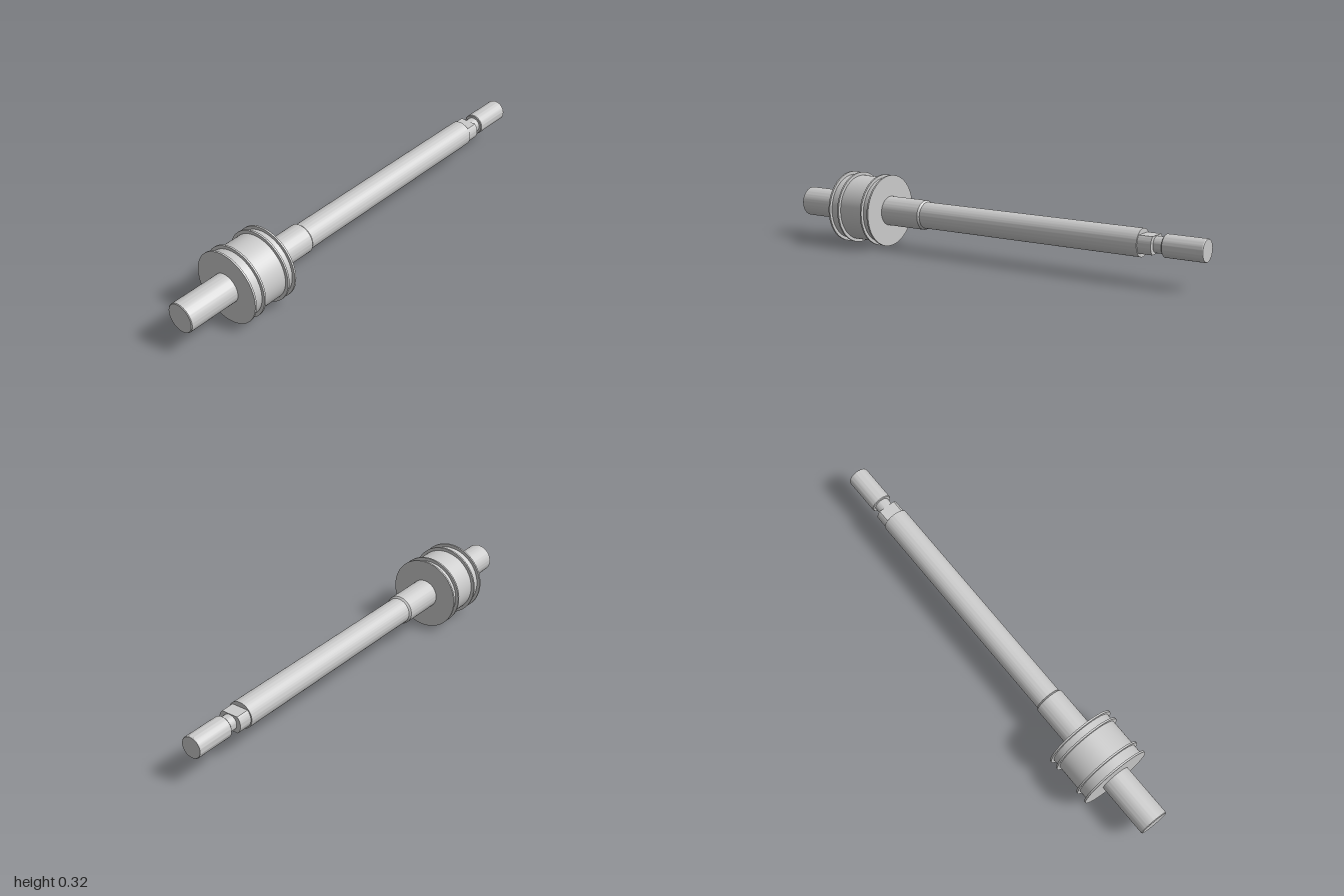
import * as THREE from 'three';
import { toCreasedNormals } from 'three/addons/utils/BufferGeometryUtils.js';

const AXIS_Y = 0.159;

export function createModel() {
  const group = new THREE.Group();
  const material = new THREE.MeshStandardMaterial({ color: 0xcccccc });

  function add(name, geometry) {
    const mesh = new THREE.Mesh(toCreasedNormals(geometry, 0.4), material);
    mesh.name = name;
    mesh.position.y = AXIS_Y;
    group.add(mesh);
  }

  // Turned part along x from [x, radius] pairs, closed at both ends
  function turned(name, profile) {
    const closed = [[profile[0][0], 0], ...profile, [profile.at(-1)[0], 0]];
    const points = closed.map(([x, r]) => new THREE.Vector2(r, x));
    add(name, new THREE.LatheGeometry(points, 72).rotateZ(-Math.PI / 2));
  }

  // Shaft sections
  turned('rearShaft', [[-1, 0.062], [-0.997, 0.065], [-0.75, 0.065]]);
  turned('collar', [[-0.54, 0.065], [-0.338, 0.065], [-0.33, 0.058]]);
  turned('mainRod', [[-0.335, 0.058], [0.725, 0.058]]);
  turned('neck', [[0.78, 0.034], [0.83, 0.034]]);
  turned('endStud', [[0.825, 0.044], [0.828, 0.047], [0.997, 0.047], [1, 0.045]]);

  // Piston drum with four thin guide rings
  turned('pistonBody', [[-0.757, 0.145], [-0.537, 0.145]]);
  for (const x of [-0.76, -0.71, -0.58, -0.542]) {
    turned('pistonRing', [[x, 0.159], [x + 0.008, 0.159]]);
  }

  // Wrench flats: a round bar cut flat above and below
  const radius = 0.053;
  const a = Math.asin(0.037 / radius);
  const section = new THREE.Shape();
  section.absarc(0, 0, radius, -a, a, false);
  section.absarc(0, 0, radius, Math.PI - a, Math.PI + a, false);
  section.closePath();
  const flats = new THREE.ExtrudeGeometry(section, { depth: 0.065, bevelEnabled: false, curveSegments: 16 });
  add('wrenchFlats', flats.rotateY(Math.PI / 2).translate(0.72, 0, 0));

  return group;
}
